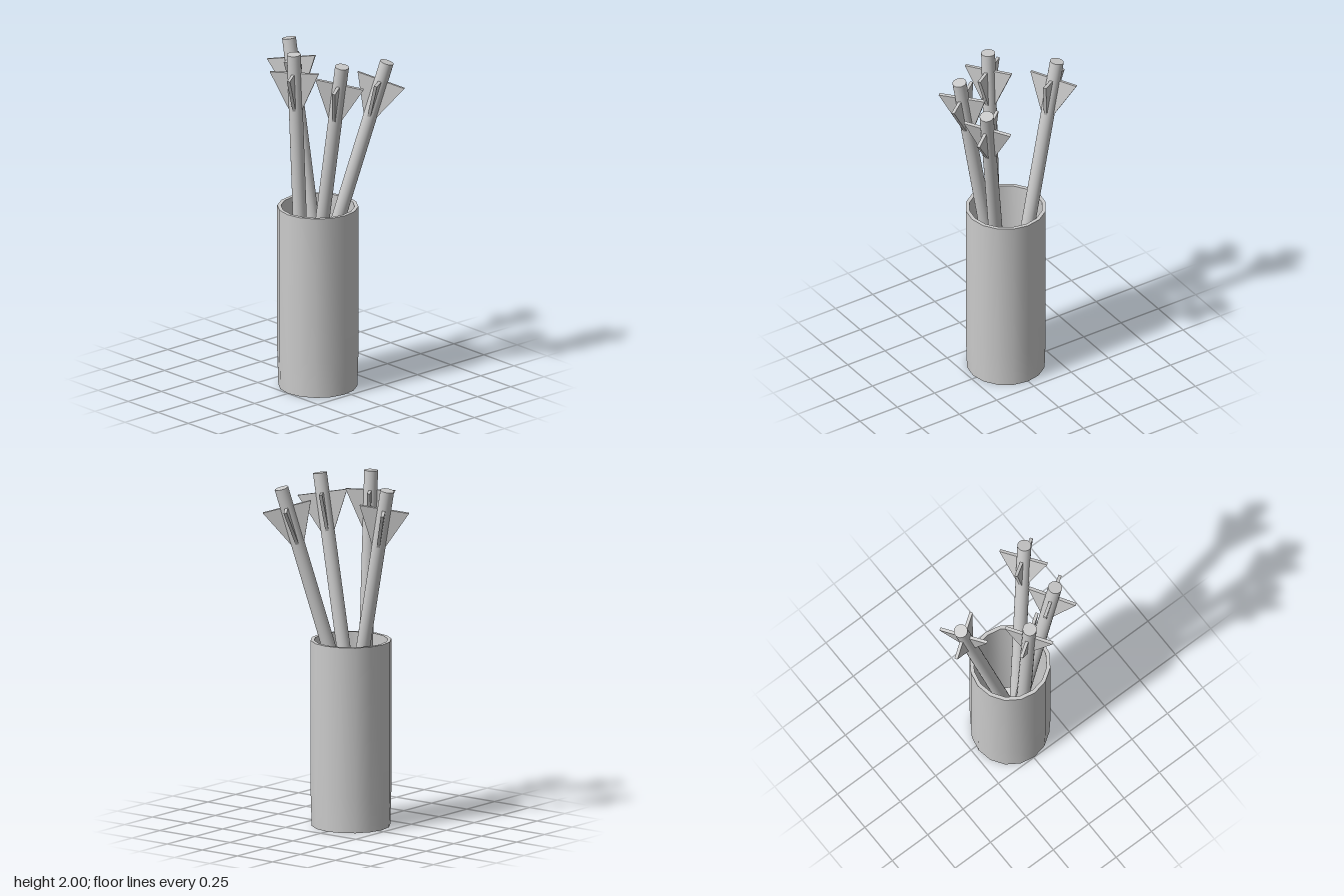
import * as THREE from 'three';
import { toCreasedNormals } from 'three/addons/utils/BufferGeometryUtils.js';

const material = new THREE.MeshStandardMaterial({ color: 0xcccccc });

const SHAFT_R = 0.039;
const HEAD_R = 0.1;
const HEAD_LEN = 0.16;

function makeMesh(name, geometry) {
  const mesh = new THREE.Mesh(geometry, material);
  mesh.name = name;
  return mesh;
}

// Hollow container with a rim, thick wall and a floor
function makeQuiver() {
  const profile = [
    [0, 0], [0.221, 0], [0.227, 0.2], [0.227, 1.06],
    [0.206, 1.06], [0.206, 0.02], [0, 0.02],
  ].map(([x, y]) => new THREE.Vector2(x, y));
  const quiver = makeMesh('quiver', toCreasedNormals(new THREE.LatheGeometry(profile, 16), 0.6));
  quiver.position.set(-0.028, 0, 0.004);
  return quiver;
}

// Thin triangular vane: wide at the top, tapering down to the shaft
function makeVaneGeometry() {
  const shape = new THREE.Shape();
  shape.moveTo(0.03, -0.345);
  shape.lineTo(0.14, -0.11);
  shape.lineTo(0.03, -0.11);
  shape.closePath();
  const geometry = new THREE.ExtrudeGeometry(shape, { depth: 0.018, bevelEnabled: false });
  return geometry.translate(0, 0, -0.009);
}

// Arrow with its origin at the centre of the nock end, hanging down to the head
function makeArrow(top, foot, vaneGeometry) {
  const arrow = new THREE.Group();
  arrow.name = 'arrow';
  const length = top.distanceTo(foot);

  const shaft = makeMesh('shaft', new THREE.CylinderGeometry(SHAFT_R, SHAFT_R, length, 24));
  shaft.position.y = -length / 2;
  arrow.add(shaft);

  const head = makeMesh('arrowhead', new THREE.ConeGeometry(HEAD_R, HEAD_LEN, 16));
  head.rotation.x = Math.PI;
  head.position.y = -length - HEAD_LEN / 2 + 0.01;
  arrow.add(head);

  for (let i = 0; i < 4; i++) {
    const vane = makeMesh('vane', vaneGeometry);
    vane.rotation.y = 0.59 + i * Math.PI / 2;
    arrow.add(vane);
  }

  const axis = top.clone().sub(foot).normalize();
  arrow.quaternion.setFromUnitVectors(new THREE.Vector3(0, 1, 0), axis);
  arrow.position.copy(top);
  return arrow;
}

export function createModel() {
  const group = new THREE.Group();
  group.name = 'quiverOfArrows';
  group.add(makeQuiver());

  // Nock end and lower end of each shaft
  const arrows = [
    [[0.03, 1.962, -0.3], [0.03, 0.2, 0.03]],
    [[-0.208, 1.998, 0.003], [-0.125, 0.2, 0.003]],
    [[-0.09, 1.967, 0.274], [-0.09, 0.2, -0.03]],
    [[0.224, 1.928, 0.3], [-0.14, 0.2, -0.05]],
  ];
  const vaneGeometry = makeVaneGeometry();
  for (const [top, foot] of arrows) {
    group.add(makeArrow(new THREE.Vector3(...top), new THREE.Vector3(...foot), vaneGeometry));
  }
  return group;
}
